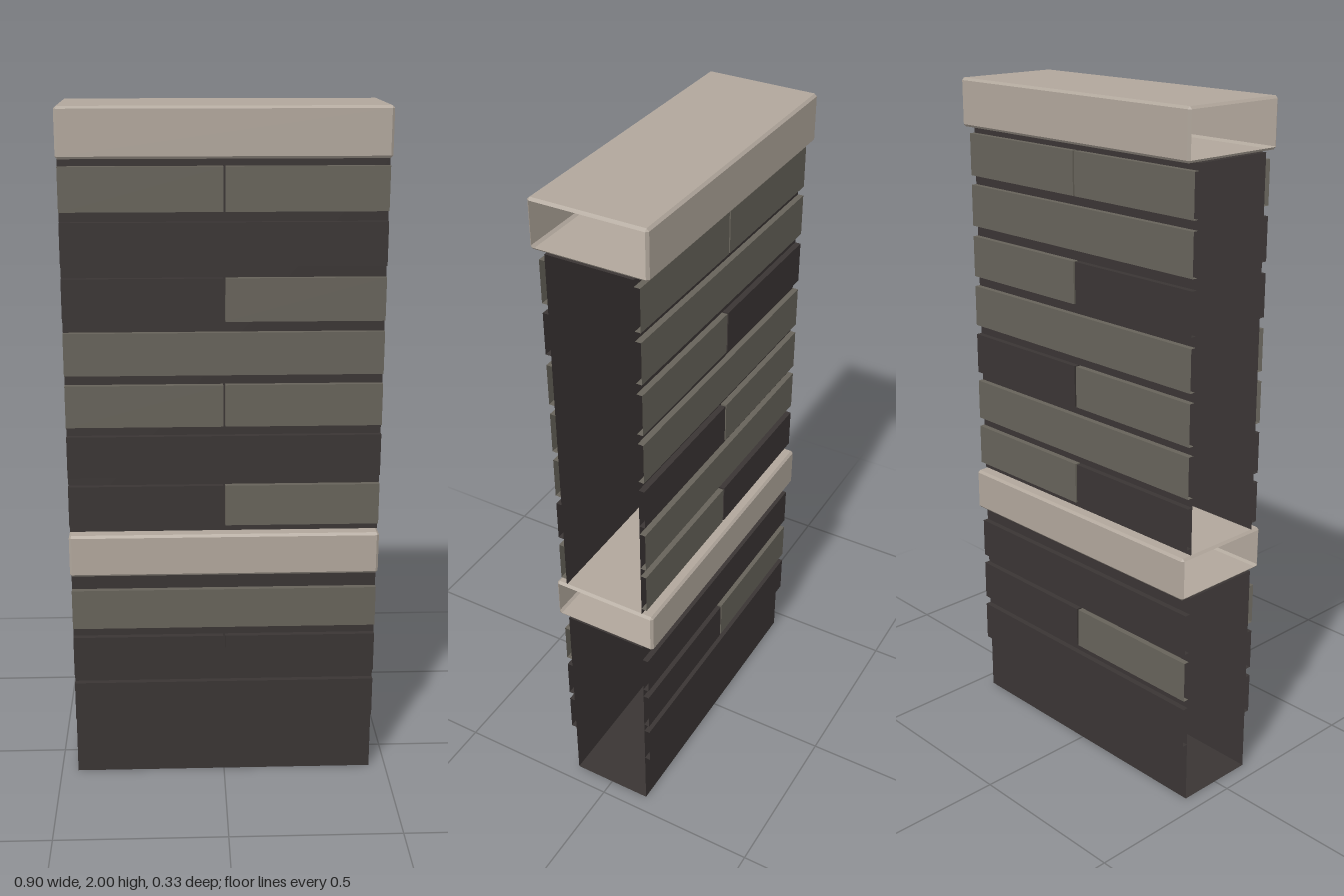
import * as THREE from 'three';

const mat = (name, color) => {
  const m = new THREE.MeshStandardMaterial({ color, side: THREE.DoubleSide });
  m.name = name;
  return m;
};

// Box that keeps only the listed faces: 0 +x, 1 -x, 2 +y, 3 -y, 4 +z, 5 -z
function openBox(x0, x1, y0, y1, z0, z1, faces) {
  const g = new THREE.BoxGeometry(x1 - x0, y1 - y0, z1 - z0);
  const idx = Array.from(g.index.array);
  g.setIndex(faces.flatMap(f => idx.slice(f * 6, f * 6 + 6)));
  g.clearGroups();
  g.translate((x0 + x1) / 2, (y0 + y1) / 2, (z0 + z1) / 2);
  return g;
}

// Chamfered sleeve along x, open at both ends
function capGeometry(halfX, y0, y1, halfZ, b) {
  const cy = (y0 + y1) / 2, hy = (y1 - y0) / 2;
  const signs = [[1, 1], [1, -1], [-1, -1], [-1, 1]]; // y, z
  const ring = (x, c) => signs.flatMap(([sy, sz], i) => {
    const onZ = [x, cy + sy * (hy - b), sz * (halfZ - b + c)];
    const onY = [x, cy + sy * (hy - b + c), sz * (halfZ - b)];
    return i % 2 ? [onY, onZ] : [onZ, onY];
  });
  const rings = [ring(-halfX, 0), ring(-halfX + b, b), ring(halfX - b, b), ring(halfX, 0)];
  const pos = [];
  const tri = (p, q, r) => {
    const [a, c, d] = [p, q, r].map(v => new THREE.Vector3(...v));
    if (c.clone().sub(a).cross(d.clone().sub(a)).length() > 1e-9) pos.push(...p, ...q, ...r);
  };
  for (let k = 0; k < 3; k++) {
    for (let i = 0; i < 8; i++) {
      const j = (i + 1) % 8;
      const a = rings[k][i], c = rings[k][j], d = rings[k + 1][j], e = rings[k + 1][i];
      tri(a, d, c);
      tri(a, e, d);
    }
  }
  const g = new THREE.BufferGeometry();
  g.setAttribute('position', new THREE.Float32BufferAttribute(pos, 3));
  // Make the winding face outwards
  const p = g.attributes.position;
  const A = new THREE.Vector3(), B = new THREE.Vector3(), C = new THREE.Vector3();
  const mid = new THREE.Vector3(0, cy, 0);
  for (let i = 0; i < p.count; i += 3) {
    A.fromBufferAttribute(p, i); B.fromBufferAttribute(p, i + 1); C.fromBufferAttribute(p, i + 2);
    const n = B.clone().sub(A).cross(C.clone().sub(A));
    const out = A.clone().add(B).add(C).divideScalar(3).sub(mid);
    if (n.dot(out) < 0) {
      p.setXYZ(i + 1, C.x, C.y, C.z);
      p.setXYZ(i + 2, B.x, B.y, B.z);
    }
  }
  g.computeVertexNormals();
  return g;
}

export function createModel() {
  const model = new THREE.Group();
  model.name = 'wallSegment';
  const dark = mat('darkStone', 0x3a3534);
  const light = mat('greyStone', 0x67635a);
  const pale = mat('paleStone', 0xb1a79c);
  const add = (name, geometry, material) => {
    const m = new THREE.Mesh(geometry, material);
    m.name = name;
    model.add(m);
  };

  const HX = 0.45, CORE = 0.125, FACE = 0.142, GAP = 0.003, H = 0.122;

  // Hollow cores, open at the ends
  add('lowerCore', openBox(-HX, HX, 0, 0.658, -CORE, CORE, [2, 3, 4, 5]), dark);
  add('upperCore', openBox(-HX, HX, 0.789, 1.859, -CORE, CORE, [2, 4, 5]), dark);

  // Ledge and coping
  add('ledge', capGeometry(0.452, 0.66, 0.787, 0.16, 0.007), pale);
  add('coping', capGeometry(0.452, 1.862, 2, 0.167, 0.007), pale);

  // Courses: base height, front stones, back stones (from -x to +x; D dark, L light)
  const courses = [
    [0.185, 'D', 'D'], [0.335, 'DD', 'LD'], [0.486, 'L', 'D'],
    [0.81, 'DL', 'DL'], [0.96, 'D', 'L'], [1.11, 'LL', 'LD'], [1.261, 'L', 'L'],
    [1.414, 'DL', 'DL'], [1.568, 'D', 'L'], [1.718, 'LL', 'LL'],
  ];
  for (const [y, front, back] of courses) {
    for (const [stones, s, name] of [[front, 1, 'frontStone'], [back, -1, 'backStone']]) {
      const z0 = s > 0 ? CORE : -FACE, z1 = s > 0 ? FACE : -CORE;
      const faces = [2, 3, s > 0 ? 4 : 5];
      [...stones].forEach((c, i) => {
        const half = stones.length === 2;
        const x0 = half && i === 1 ? GAP : -HX;
        const x1 = half && i === 0 ? -GAP : HX;
        // Half stones also close the end at the middle joint
        const kept = half ? [...faces, i === 0 ? 0 : 1] : faces;
        add(name, openBox(x0, x1, y, y + H, z0, z1, kept), c === 'D' ? dark : light);
      });
    }
  }
  return model;
}
